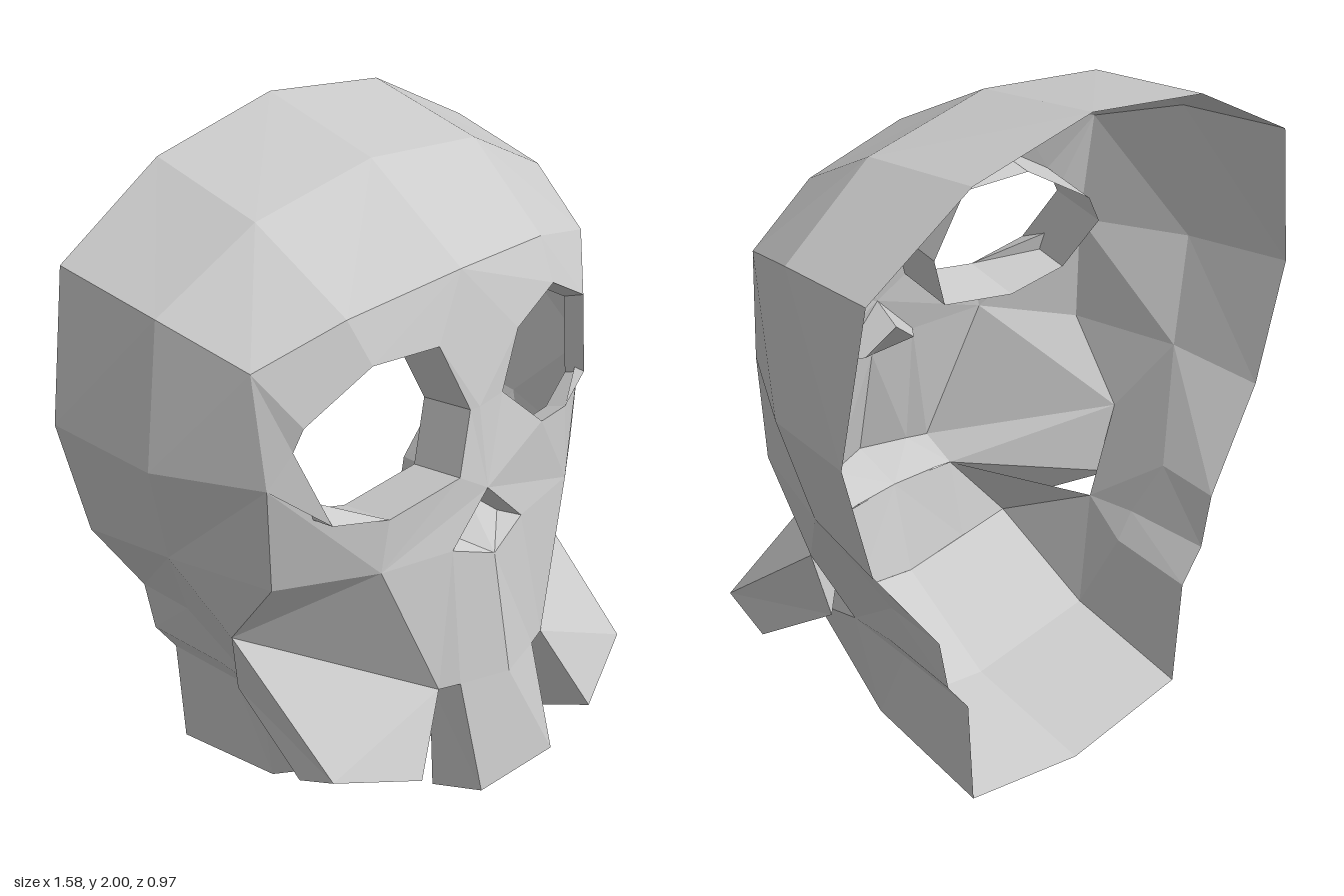
import * as THREE from 'three';

const material = new THREE.MeshStandardMaterial({ color: 0xcccccc, flatShading: true, side: THREE.DoubleSide });

// Facets a grid of points; rows run top to bottom, columns left to right as seen from outside.
function patch(rows) {
  const tris = [];
  for (let i = 0; i < rows.length - 1; i++) {
    for (let j = 0; j < rows[i].length - 1; j++) {
      const a = rows[i][j], b = rows[i][j + 1], c = rows[i + 1][j + 1], d = rows[i + 1][j];
      if (a !== d && d !== c) tris.push([a, d, c]);
      if (a !== b && b !== c) tris.push([a, c, b]);
    }
  }
  return tris;
}

const close = (loop) => [...loop, loop[0]];

// Block between a front and a back quad (top left, top right, bottom right, bottom left).
function block(front, back) {
  return [
    ...patch([[front[0], front[1]], [front[3], front[2]]]),
    ...patch([[back[1], back[0]], [back[2], back[3]]]),
    ...patch([close(back), close(front)]),
  ];
}

// Mesh from triangles, mirrored to the other side when s is -1.
function part(group, name, tris, s) {
  const pos = [];
  for (const t of tris) {
    for (const p of s > 0 ? t : [t[0], t[2], t[1]]) pos.push(p[0] * s, p[1], p[2]);
  }
  const geometry = new THREE.BufferGeometry();
  geometry.setAttribute('position', new THREE.Float32BufferAttribute(pos, 3));
  geometry.computeVertexNormals();
  const mesh = new THREE.Mesh(geometry, material);
  mesh.name = name;
  group.add(mesh);
}

// Shared corners of one half of the face
const browMid = [0, 1.73, 0.25], brow = [0.35, 1.69, 0.2], browEnd = [0.6, 1.6, 0.12];
const bridge = [0, 1.36, 0.325], temple = [0.585, 1.27, 0.15], cheekbone = [0.35, 1.0, 0.32];
const noseTop = [0, 1.13, 0.36], noseSide = [0.13, 0.99, 0.362], noseTip = [0, 0.94, 0.39];
const cheekSide = [0.57, 0.96, 0.14], cheekLow = [0.57, 0.73, -0.03];
const lipOuter = [0.2, 0.59, 0.385], lipInner = [0.14, 0.59, 0.408], lipMid = [0, 0.59, 0.455];
const gumOuter = [0.2, 0.54, 0.28], gumInner = [0.14, 0.54, 0.29], gumMid = [0, 0.54, 0.3];
const wallMid = [0.66, 0.96, -0.17], wallRim = [0.7, 0.94, -0.45];
const crownRim = [0.72, 1.73, -0.47], crownMid = [0.69, 1.69, -0.13];

// The two eye holes differ: each has its own outline, matching ring and socket depth.
const eyes = {
  left: {
    depth: 0.07,
    hole: [[0.1, 1.36, 0.31], [0.18, 1.51, 0.285], [0.35, 1.57, 0.25], [0.49, 1.48, 0.235],
      [0.49, 1.25, 0.25], [0.35, 1.22, 0.31], [0.23, 1.23, 0.335]],
    ring: [bridge, browMid, brow, browEnd, temple, cheekbone, noseTop],
  },
  right: {
    depth: 0.17,
    hole: [[0.03, 1.36, 0.32], [0.11, 1.56, 0.285], [0.31, 1.565, 0.25], [0.5, 1.44, 0.2],
      [0.52, 1.37, 0.18], [0.49, 1.19, 0.29], [0.32, 1.15, 0.32], [0.09, 1.19, 0.345]],
    ring: [bridge, browMid, brow, browEnd, temple, temple, cheekbone, noseTop],
  },
};

function buildHalf(group, s) {
  const side = s > 0 ? 'left' : 'right';
  const add = (name, tris) => part(group, side + name, tris, s);

  // Cranium: roof and side wall, open at the back
  add('Crown', patch([
    [[0, 2, -0.47], [0.39, 1.93, -0.47], crownRim],
    [[0, 1.93, -0.08], [0.39, 1.87, -0.09], crownMid],
    [browMid, brow, browEnd],
  ]));
  add('SideWall', patch([
    [browEnd, crownMid, crownRim],
    [temple, [0.74, 1.27, -0.13], [0.79, 1.3, -0.45]],
    [cheekSide, wallMid, wallRim],
  ]));

  // Face around the eye, and the socket behind it
  const { hole, ring, depth } = eyes[side];
  const inner = hole.map(([x, y, z]) => [x, y - 0.03, z - depth]);
  add('Face', [
    ...patch([close(ring), close(hole)]),
    [temple, cheekbone, cheekSide],
    [noseTop, noseSide, cheekbone],
  ]);
  add('EyeSocket', patch([close(hole), close(inner)]));

  // Sunken nose
  const innerTop = [0, 1.08, 0.28], innerSide = [0.09, 1.0, 0.31];
  add('Nose', [
    ...patch([[innerTop, innerSide], [noseTop, noseSide]]),
    [innerSide, noseTip, noseSide],
    [innerTop, noseTip, innerSide],
  ]);

  // Upper jaw and the underside between tooth and cheek
  add('UpperJaw', [
    ...patch([[noseTip, noseSide, cheekbone], [lipMid, lipInner, lipOuter]]),
    ...patch([[cheekbone, cheekSide], [lipOuter, cheekLow]]),
    ...patch([[lipInner, lipOuter], [gumInner, gumOuter]]),
  ]);

  // One half of the front tooth, slightly off centre
  const off = s > 0 ? 0.02 : 0;
  add('FrontTooth', block(
    [lipMid, lipInner, [0.13 + off, 0.265, 0.485], [0, 0.265, 0.485]],
    [gumMid, gumInner, [0.145 + off / 2, 0.197, 0.31], [0, 0.197, 0.31]],
  ));

  // Flared cheek slab, a little higher on the right
  const lift = s > 0 ? 0 : 0.065;
  add('CheekSlab', block(
    [lipOuter, cheekLow, [0.565, 0.39 + lift, 0.36], [0.335, 0.305 + lift * 1.4, 0.46]],
    [gumOuter, [0.53, 0.53, -0.06], [0.56, 0.32 + lift, 0.22], [0.31, 0.23 + lift * 1.4, 0.29]],
  ));

  // Jaw hinge behind the cheek, stepping in to the lower jaw
  const hingeMid = [0.51, 0.67, -0.29], hingeRim = [0.51, 0.66, -0.48];
  const stepFront = [0.45, 0.48, -0.06], stepMid = [0.46, 0.5, -0.22], stepRim = [0.48, 0.5, -0.48];
  const jawMid = [0.41, 0.42, -0.22], jawRim = [0.41, 0.4, -0.48];
  add('JawHinge', [
    [cheekSide, cheekLow, wallMid],
    [wallMid, cheekLow, hingeMid],
    [cheekLow, stepFront, hingeMid],
    [hingeMid, stepFront, stepMid],
    [stepFront, jawMid, stepMid],
    ...patch([[wallMid, wallRim], [hingeMid, hingeRim], [stepMid, stepRim], [jawMid, jawRim]]),
  ]);

  // Lower jaw: side, underside and the front wall behind the teeth
  const chin = [0.36, 0.33, 0.22], chinMid = [0, 0.27, 0.23];
  const floorMid = [0.39, 0.14, -0.09], floorRim = [0.39, 0.07, -0.48];
  add('LowerJaw', [
    ...patch([[stepFront, jawMid, jawRim], [chin, floorMid, floorRim]]),
    ...patch([
      [chinMid, chin],
      [[0, 0.07, -0.08], floorMid],
      [[0, 0, -0.48], floorRim],
    ]),
    ...patch([[gumMid, gumOuter, stepFront], [chinMid, [0.2, 0.303, 0.225], chin]]),
  ]);
}

export function createModel() {
  const group = new THREE.Group();
  group.name = 'skullMask';
  for (const s of [1, -1]) buildHalf(group, s);
  return group;
}
